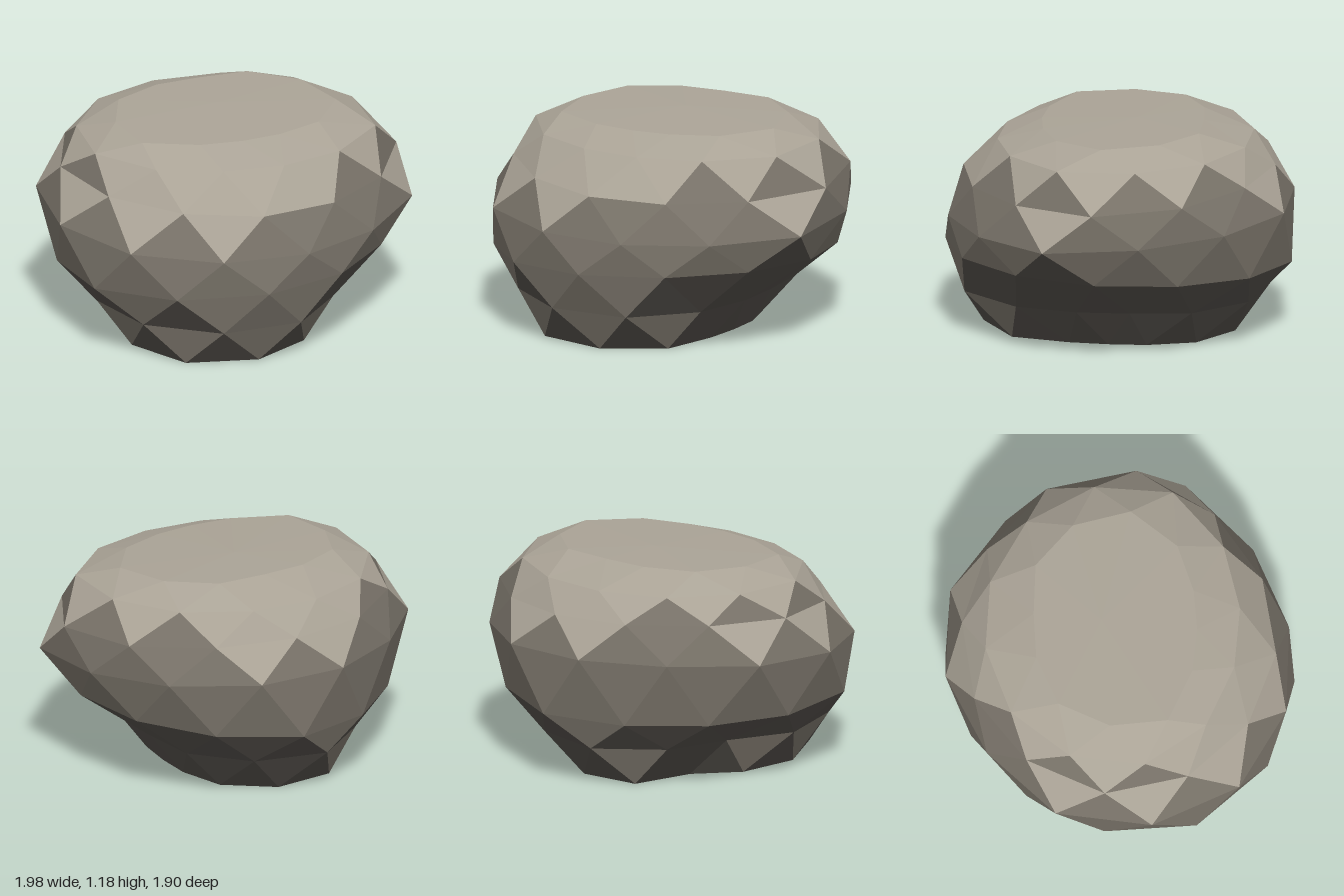
import * as THREE from 'three';

// Each ring: height, tilt of the height along x and z, and 12 radii running from +x towards +z.
// Every other ring is turned by half a step, so the facets interlock.
const RINGS = [
  { y: 0.0, tx: 0, tz: 0, r: [0.38, 0.43, 0.62, 0.74, 0.79, 0.70, 0.58, 0.47, 0.67, 0.64, 0.54, 0.42] }, // foot
  { y: 0.22, tx: 0, tz: 0, r: [0.57, 0.69, 0.84, 0.89, 0.87, 0.79, 0.64, 0.74, 0.83, 0.77, 0.67, 0.55] }, // undercut
  { y: 0.43, tx: 0.04, tz: 0.03, r: [0.88, 0.89, 0.91, 0.95, 0.98, 0.99, 0.93, 0.88, 0.89, 0.95, 0.91, 0.88] },
  { y: 0.70, tx: -0.02, tz: -0.05, r: [1.03, 0.94, 0.93, 0.96, 1.01, 1.02, 1.01, 0.94, 0.96, 0.98, 0.97, 0.98] }, // widest
  { y: 0.91, tx: -0.03, tz: -0.04, r: [0.98, 0.89, 0.85, 0.85, 0.85, 0.88, 0.91, 0.88, 0.87, 0.86, 0.88, 0.95] },
  { y: 1.08, tx: 0, tz: -0.01, r: [0.83, 0.73, 0.66, 0.66, 0.73, 0.80, 0.79, 0.77, 0.74, 0.75, 0.79, 0.82] }, // shoulder
  { y: 1.165, tx: 0, tz: -0.03, r: [0.64, 0.54, 0.44, 0.42, 0.48, 0.62, 0.60, 0.58, 0.50, 0.47, 0.56, 0.61] }, // top rim
];

function ringPoints({ y, tx, tz, r }, index) {
  return r.map((radius, k) => {
    const a = ((k + (index % 2) * 0.5) / r.length) * Math.PI * 2;
    const x = radius * Math.cos(a);
    const z = radius * Math.sin(a);
    return new THREE.Vector3(x, y + tx * x + tz * z, z);
  });
}

function boulderTriangles() {
  const rings = RINGS.map(ringPoints);
  const n = rings[0].length;
  const triangles = [];

  // Interlocking triangles between neighbouring rings
  for (let i = 0; i < rings.length - 1; i++) {
    const low = rings[i];
    const high = rings[i + 1];
    for (let j = 0; j < n; j++) {
      const k = (j + 1) % n;
      if (i % 2 === 0) triangles.push([low[j], high[j], low[k]], [low[k], high[j], high[k]]);
      else triangles.push([low[j], high[k], low[k]], [low[j], high[j], high[k]]);
    }
  }

  // Flat underside and slightly domed top
  const bottom = new THREE.Vector3(-0.08, 0, 0.02);
  const top = new THREE.Vector3(0, 1.178, -0.1);
  const foot = rings[0];
  const rim = rings[rings.length - 1];
  for (let j = 0; j < n; j++) {
    const k = (j + 1) % n;
    triangles.push([bottom, foot[j], foot[k]], [top, rim[k], rim[j]]);
  }
  return triangles;
}

// Weathering by slope: 0 = facets facing up, 1 = steep sides, 2 = overhangs and underside
function slopeClass([a, b, c]) {
  const { y } = new THREE.Triangle(a, b, c).getNormal(new THREE.Vector3());
  if (y > 0.51) return 0;
  return y < -0.5 ? 2 : 1;
}

function boulderGeometry() {
  const facets = [[], [], []];
  for (const triangle of boulderTriangles()) facets[slopeClass(triangle)].push(...triangle);

  // Unshared corners give flat facets, one group per colour
  const geometry = new THREE.BufferGeometry().setFromPoints(facets.flat());
  let start = 0;
  facets.forEach((corners, material) => {
    geometry.addGroup(start, corners.length, material);
    start += corners.length;
  });
  geometry.computeVertexNormals();
  return geometry;
}

function stone(name, color) {
  const material = new THREE.MeshStandardMaterial({ color });
  material.name = name;
  return material;
}

export function createModel() {
  const boulder = new THREE.Mesh(boulderGeometry(), [
    stone('light stone', 0xaaa396),
    stone('mid stone', 0x7a746a),
    stone('dark stone', 0x524e49),
  ]);
  boulder.name = 'boulder';

  const model = new THREE.Group();
  model.name = 'rock';
  model.add(boulder);
  return model;
}
